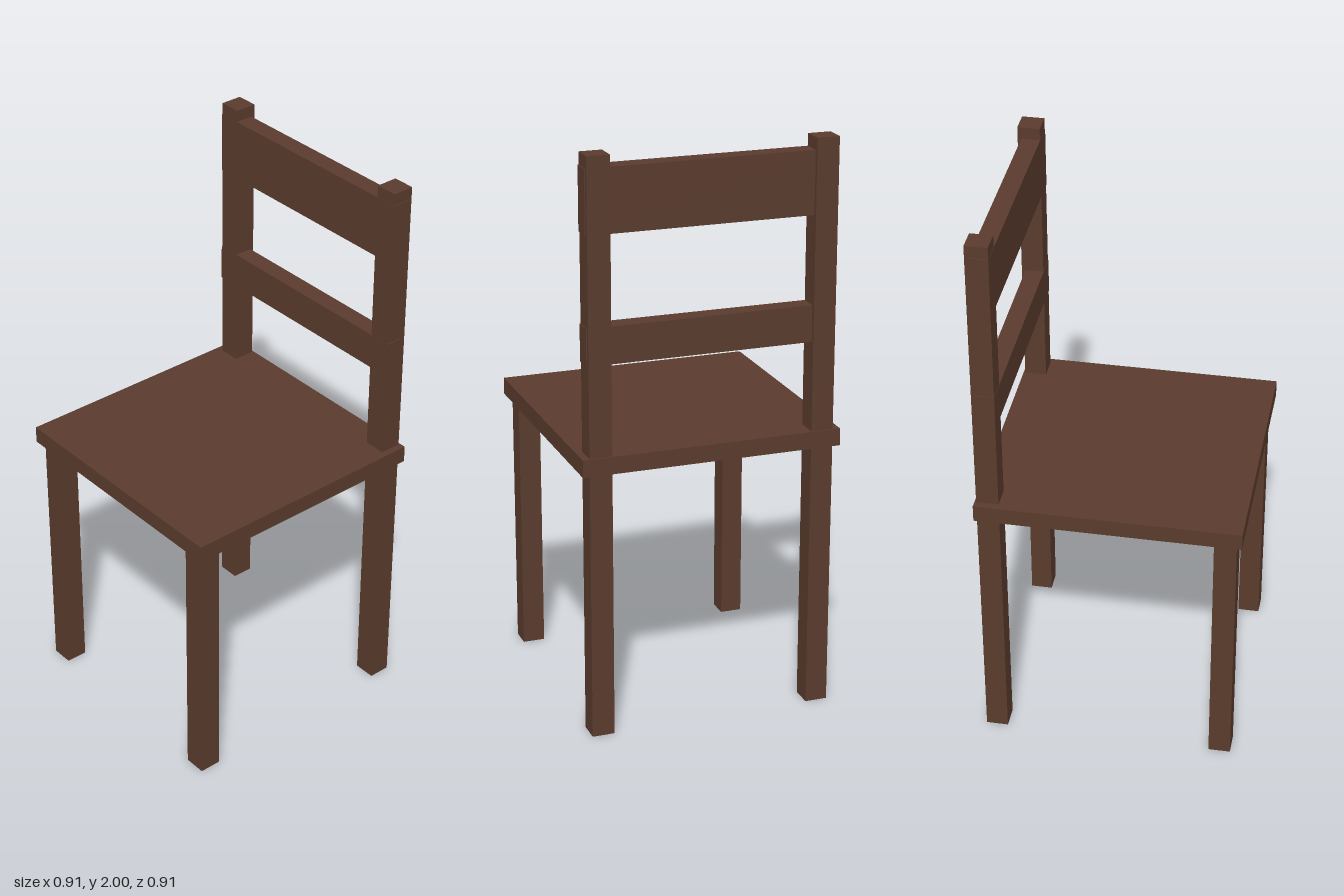
import * as THREE from 'three';

export function createModel() {
  const chair = new THREE.Group();
  chair.name = 'chair';
  const wood = new THREE.MeshStandardMaterial({ color: 0x5a3b2d });
  wood.name = 'dark brown wood';

  // Adds a box given its extent along each axis
  function board(name, [x0, x1], [y0, y1], [z0, z1]) {
    const mesh = new THREE.Mesh(new THREE.BoxGeometry(x1 - x0, y1 - y0, z1 - z0), wood);
    mesh.position.set((x0 + x1) / 2, (y0 + y1) / 2, (z0 + z1) / 2);
    mesh.name = name;
    chair.add(mesh);
  }

  board('seat', [-0.455, 0.455], [0.94, 1], [-0.455, 0.455]);

  // Front legs, and rear posts that run up into the backrest
  for (const [side, x] of [['left', 0.391], ['right', -0.391]]) {
    const span = [x - 0.039, x + 0.039];
    board(side + 'FrontLeg', span, [0, 0.94], [0.358, 0.435]);
    board(side + 'RearPost', span, [0, 2], [-0.449, -0.372]);
  }

  // Backrest rails, let into the posts with their ends just showing
  board('topRail', [-0.433, 0.433], [1.742, 1.958], [-0.436, -0.371]);
  board('middleRail', [-0.433, 0.433], [1.31, 1.437], [-0.436, -0.371]);

  return chair;
}
